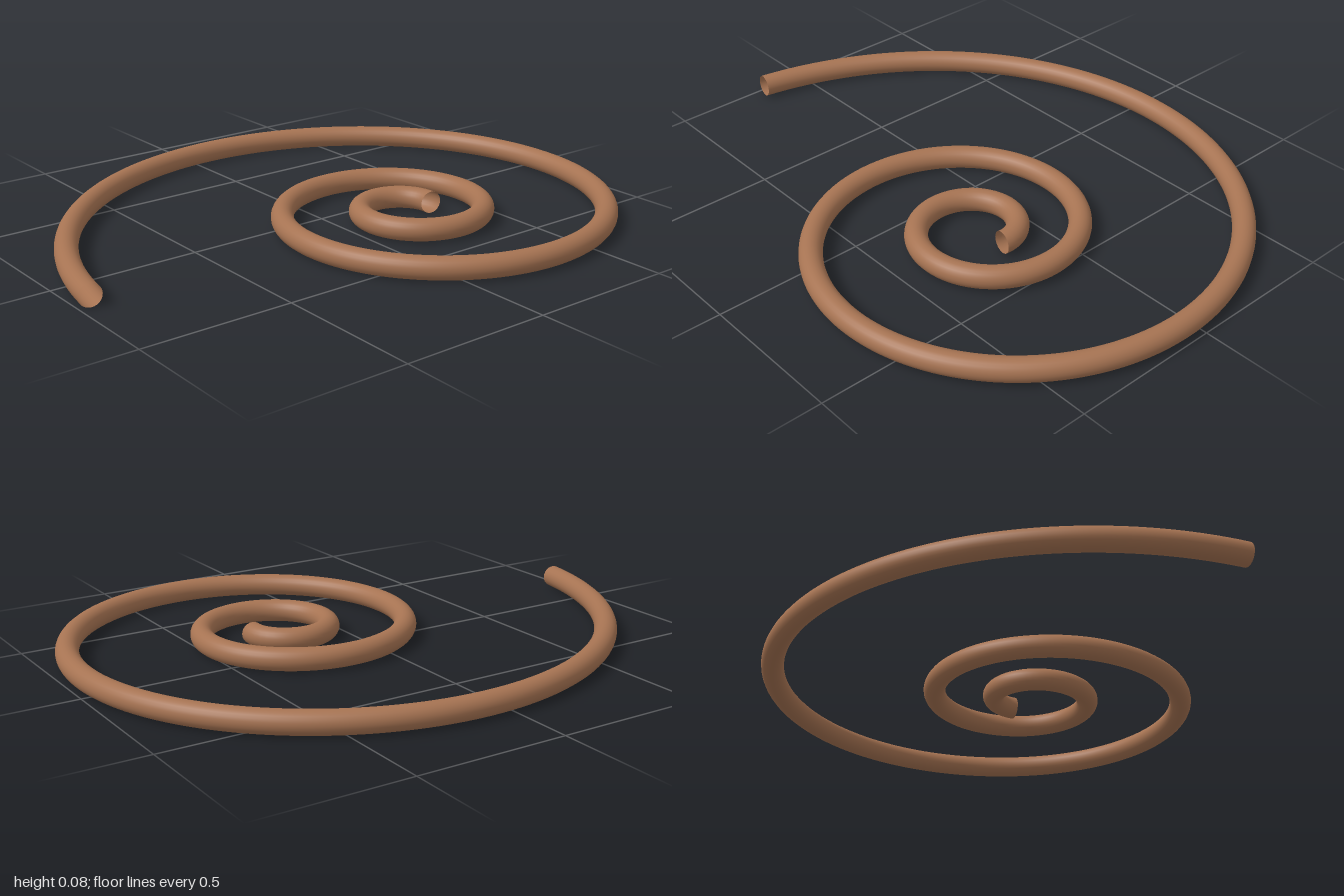
import * as THREE from 'three';

// Flat logarithmic spiral: the radius grows steadily over two and a half turns
class SpiralCurve extends THREE.Curve {
  getPoint(t, target = new THREE.Vector3()) {
    const innerRadius = 0.1055, outerRadius = 1.1845;
    const angle = t * 5 * Math.PI;
    const r = innerRadius * Math.pow(outerRadius / innerRadius, t);
    return target.set(0.2195 + r * Math.cos(angle), 0.0375, 0.179 - r * Math.sin(angle));
  }
}

export function createModel() {
  const group = new THREE.Group();
  group.name = 'spiral';

  const copperBrown = new THREE.MeshStandardMaterial({ color: 0xa67352, side: THREE.DoubleSide });
  copperBrown.name = 'copperBrown';

  // Hollow round tube, open at both ends
  const path = new SpiralCurve();
  path.arcLengthDivisions = 1200;
  const spiralTube = new THREE.Mesh(new THREE.TubeGeometry(path, 400, 0.0375, 24, false), copperBrown);
  spiralTube.name = 'spiralTube';
  group.add(spiralTube);

  return group;
}
